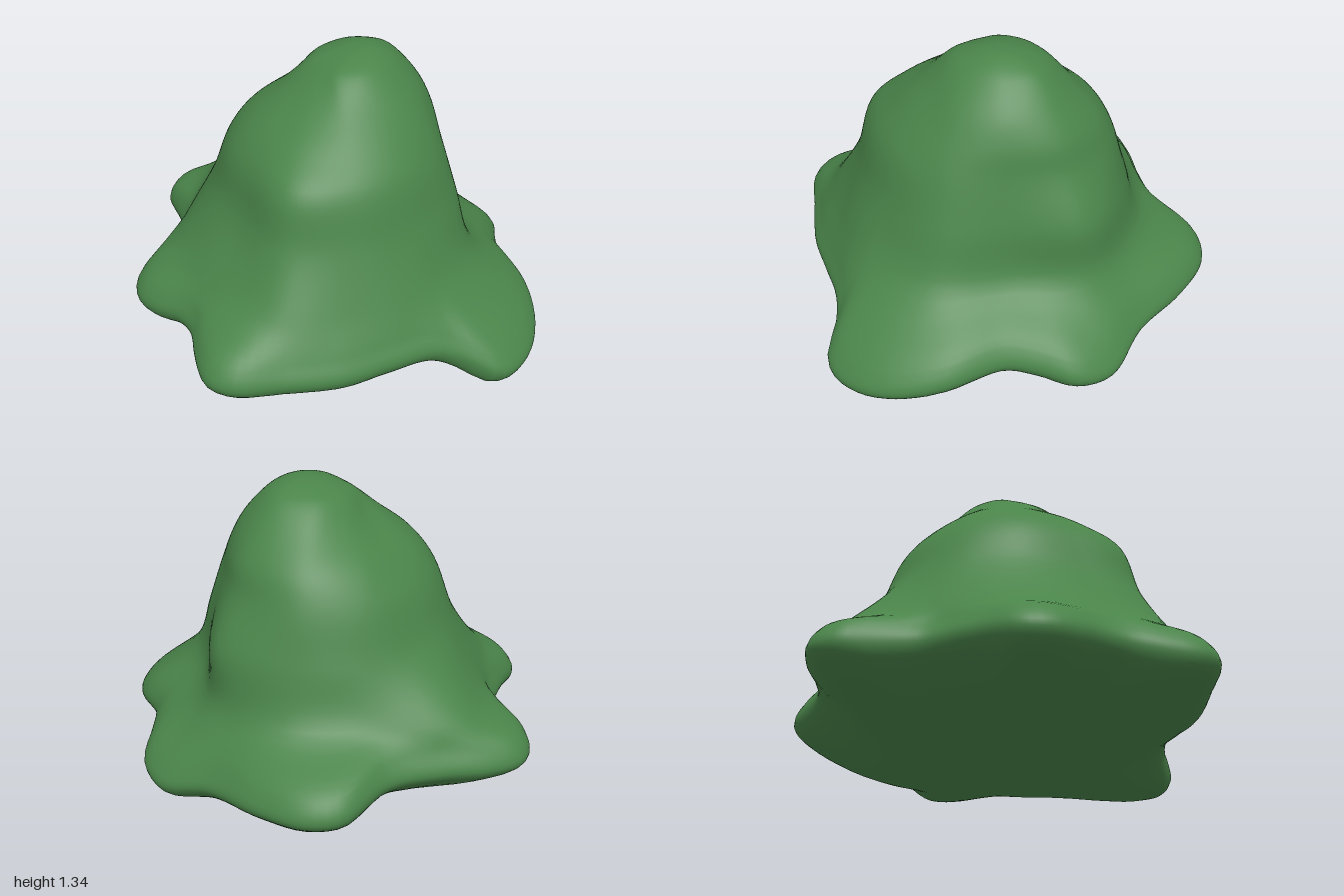
import * as THREE from 'three';
import { mergeVertices } from 'three/addons/utils/BufferGeometryUtils.js';

const COLS = 144, ROWS = 84;
const V = (x, y, z) => new THREE.Vector3(x, y, z);
const APEX = V(0.14, 1.333, 0.05);
const BASE = V(0.34, 0, 0);

// Wavy skirt outline: x, z, height
const RIM = [
  [0.94, 0.08, 0.13], [0.9, 0.25, 0.15], [0.78, 0.36, 0.19], [0.68, 0.47, 0.21],
  [0.6, 0.7, 0.18], [0.48, 0.86, 0.14], [0.33, 0.96, 0.11], [0.17, 0.99, 0.1],
  [0.08, 0.96, 0.12], [0, 0.86, 0.18], [-0.1, 0.79, 0.23], [-0.3, 0.72, 0.23],
  [-0.5, 0.65, 0.22], [-0.72, 0.52, 0.23], [-0.9, 0.4, 0.24], [-0.94, 0.29, 0.24],
  [-0.9, 0.17, 0.25], [-0.82, 0.02, 0.28], [-0.81, -0.1, 0.28], [-0.84, -0.22, 0.26],
  [-0.84, -0.35, 0.25], [-0.78, -0.45, 0.25], [-0.6, -0.53, 0.28], [-0.4, -0.64, 0.29],
  [-0.33, -0.78, 0.28], [-0.27, -0.93, 0.27], [-0.15, -0.995, 0.27], [0, -0.95, 0.27],
  [0.2, -0.83, 0.28], [0.4, -0.74, 0.28], [0.65, -0.745, 0.24], [0.77, -0.65, 0.23],
  [0.84, -0.45, 0.22], [0.87, -0.15, 0.19],
];

// Body contours: height, then radii every 30 degrees from +x towards +z
const CONTOURS = [
  [1.27, [0.33, 0.3, 0.25, 0.2, 0.15, 0.09, 0.07, 0.07, 0.09, 0.12, 0.18, 0.27]],
  [1.16, [0.43, 0.4, 0.36, 0.31, 0.28, 0.24, 0.21, 0.21, 0.22, 0.23, 0.3, 0.39]],
  [1.04, [0.51, 0.46, 0.44, 0.42, 0.41, 0.41, 0.37, 0.36, 0.37, 0.38, 0.44, 0.5]],
  [0.92, [0.55, 0.49, 0.5, 0.5, 0.51, 0.54, 0.46, 0.45, 0.46, 0.48, 0.52, 0.56]],
  [0.7, [0.66, 0.55, 0.58, 0.57, 0.58, 0.61, 0.53, 0.53, 0.55, 0.58, 0.6, 0.63]],
  [0.46, [0.69, 0.6, 0.67, 0.68, 0.68, 0.76, 0.7, 0.7, 0.68, 0.81, 0.71, 0.71]],
];

// Smooth closed loop resampled at equal angles about the y axis
function resample(points) {
  const fine = new THREE.CatmullRomCurve3(points, true).getPoints(1500);
  return Array.from({ length: COLS }, (_, i) => {
    const a = (i / COLS) * Math.PI * 2;
    const ray = V(Math.cos(a), 0, Math.sin(a));
    const closeness = (p) => (p.x * ray.x + p.z * ray.z) / Math.hypot(p.x, p.z);
    let best = fine[0], score = -1;
    for (const p of fine) {
      const s = closeness(p);
      if (s > score) { score = s; best = p; }
    }
    return ray.multiplyScalar(Math.hypot(best.x, best.z)).setY(best.y);
  });
}

// Points rounding off the top of the dome above its highest contour
function crown(top, t) {
  const p = APEX.clone().lerp(top, t);
  return p.setY(APEX.y - (APEX.y - top.y) * t * t);
}

// Points on the gently tilted underside
function underside(e, t) {
  const p = BASE.clone().lerp(e, t);
  return p.setY(0.05 * Math.min(1, t * 1.8) ** 2 - 0.08 * (p.x - BASE.x) - 0.01 * p.z);
}

function moundGeometry() {
  const rim = resample(RIM.map(([x, z, y]) => V(x, y, z)));
  const rings = CONTOURS.map(([y, radii]) => resample(radii.map((r, i) => {
    const a = (i * Math.PI) / 6;
    return V(r * Math.cos(a), y, r * Math.sin(a));
  })));

  // One smooth profile per column: apex, body, rounded rim, shallow underside
  const positions = [], indices = [];
  for (let c = 0; c < COLS; c++) {
    const e = rim[c], top = rings[0][c];
    const profile = new THREE.CatmullRomCurve3([
      APEX, crown(top, 0.3), crown(top, 0.65),
      ...rings.map((ring) => ring[c]),
      V(e.x * 0.95, e.y + 0.09, e.z * 0.95),
      e,
      V(e.x * 0.95, e.y - 0.065, e.z * 0.95),
      underside(e, 0.6), underside(e, 0.25), BASE,
    ]);
    for (let r = 0; r <= ROWS; r++) positions.push(...profile.getPoint(r / ROWS).toArray());
  }
  const id = (r, c) => (c % COLS) * (ROWS + 1) + r;
  for (let c = 0; c < COLS; c++) {
    for (let r = 0; r < ROWS; r++) {
      const a = id(r, c), b = id(r, c + 1), d = id(r + 1, c), f = id(r + 1, c + 1);
      if (r > 0) indices.push(a, b, d);
      if (r < ROWS - 1) indices.push(b, f, d);
    }
  }
  const shell = new THREE.BufferGeometry();
  shell.setAttribute('position', new THREE.Float32BufferAttribute(positions, 3));
  shell.setIndex(indices);
  const geo = mergeVertices(shell, 1e-5);
  geo.computeVertexNormals();
  return geo;
}

export function createModel() {
  const group = new THREE.Group();
  const green = new THREE.MeshStandardMaterial({ color: 0x4a844a });
  green.name = 'leaf green';

  // Single soft mound with a lobed skirt
  const mound = new THREE.Mesh(moundGeometry(), green);
  mound.name = 'lobedMound';
  group.add(mound);
  return group;
}
